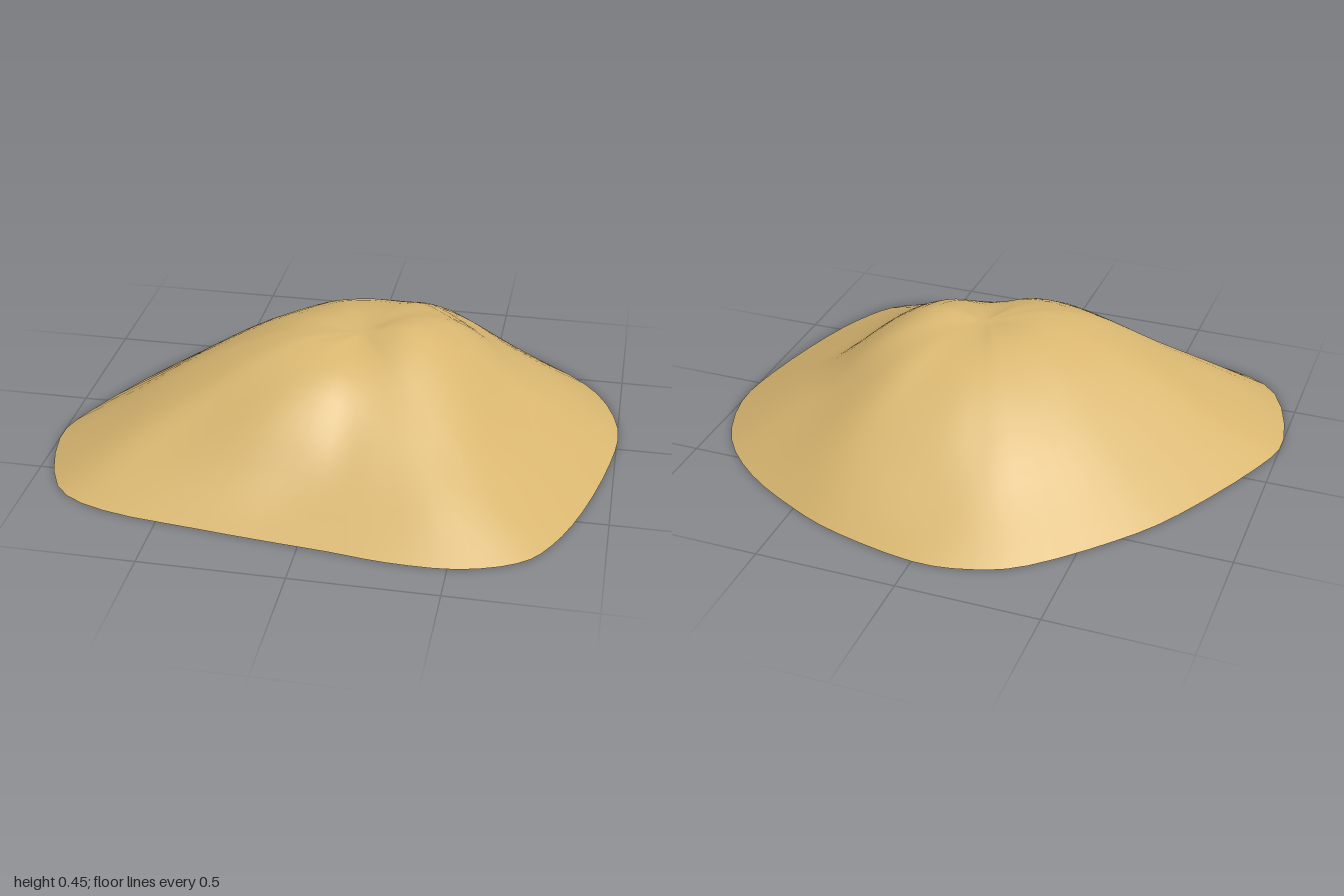
import * as THREE from 'three';

// Each spoke: foot x, foot z, then heights at 20, 40, 60 and 80 % of the way out
const SPOKES = [
  [0, -0.86, 0.42, 0.37, 0.26, 0.11],
  [0.3, -0.8, 0.425, 0.38, 0.285, 0.15],
  [0.5, -0.72, 0.43, 0.395, 0.3, 0.165],
  [0.73, -0.585, 0.435, 0.385, 0.26, 0.13],
  [0.91, -0.4, 0.445, 0.38, 0.23, 0.12],
  [1, -0.15, 0.45, 0.36, 0.215, 0.105],
  [0.985, 0.1, 0.447, 0.355, 0.2, 0.1],
  [0.91, 0.43, 0.43, 0.34, 0.2, 0.095],
  [0.82, 0.66, 0.415, 0.32, 0.2, 0.09],
  [0.72, 0.78, 0.405, 0.31, 0.2, 0.1],
  [0.53, 0.85, 0.395, 0.31, 0.21, 0.11],
  [0.3, 0.855, 0.395, 0.32, 0.215, 0.1],
  [0.1, 0.83, 0.4, 0.345, 0.225, 0.1],
  [-0.1, 0.81, 0.41, 0.375, 0.26, 0.1],
  [-0.36, 0.78, 0.425, 0.385, 0.28, 0.12],
  [-0.7, 0.73, 0.43, 0.375, 0.24, 0.11],
  [-0.9, 0.61, 0.435, 0.37, 0.25, 0.13],
  [-1, 0.3, 0.432, 0.365, 0.255, 0.12],
  [-0.95, 0.08, 0.43, 0.365, 0.26, 0.13],
  [-0.76, -0.3, 0.43, 0.37, 0.26, 0.13],
  [-0.6, -0.52, 0.425, 0.365, 0.26, 0.13],
  [-0.37, -0.75, 0.425, 0.365, 0.255, 0.12],
  [-0.2, -0.835, 0.42, 0.365, 0.25, 0.115],
];
const SADDLE = new THREE.Vector3(0.08, 0.418, 0.06);
const AROUND = SPOKES.length * 3;
const OUT = 15;

function moundGeometry() {
  // Closed contour loops from near the saddle out to the foot
  const loops = [1, 2, 3, 4, 5].map((k) => new THREE.CatmullRomCurve3(
    SPOKES.map((s) => new THREE.Vector3(
      THREE.MathUtils.lerp(SADDLE.x, s[0], k / 5),
      k < 5 ? s[k + 1] : 0,
      THREE.MathUtils.lerp(SADDLE.z, s[1], k / 5))), true, 'catmullrom'));

  // Spokes splined through the loops, sharing one vertex at the saddle
  const positions = [...SADDLE.toArray()];
  const index = [];
  const at = (i, j) => (j === 0 ? 0 : 1 + (i % AROUND) * OUT + j - 1);
  for (let i = 0; i < AROUND; i++) {
    const spoke = new THREE.CatmullRomCurve3(
      [SADDLE, ...loops.map((l) => l.getPoint(i / AROUND))], false, 'catmullrom');
    for (let j = 1; j <= OUT; j++) {
      const p = spoke.getPoint(j / OUT);
      positions.push(p.x, Math.max(0, p.y), p.z);
    }
    for (let j = 0; j < OUT; j++) {
      index.push(at(i, j), at(i + 1, j + 1), at(i, j + 1));
      if (j > 0) index.push(at(i, j), at(i + 1, j), at(i + 1, j + 1));
    }
  }
  const geometry = new THREE.BufferGeometry();
  geometry.setAttribute('position', new THREE.Float32BufferAttribute(positions, 3));
  geometry.setIndex(index);
  geometry.computeVertexNormals();
  return geometry;
}

export function createModel() {
  const group = new THREE.Group();
  group.name = 'sandMound';
  // Open underneath, so both sides are shown
  const sand = new THREE.MeshStandardMaterial({ color: 0xd8b670, side: THREE.DoubleSide });
  sand.name = 'sand';
  const mound = new THREE.Mesh(moundGeometry(), sand);
  mound.name = 'mound';
  group.add(mound);
  return group;
}
